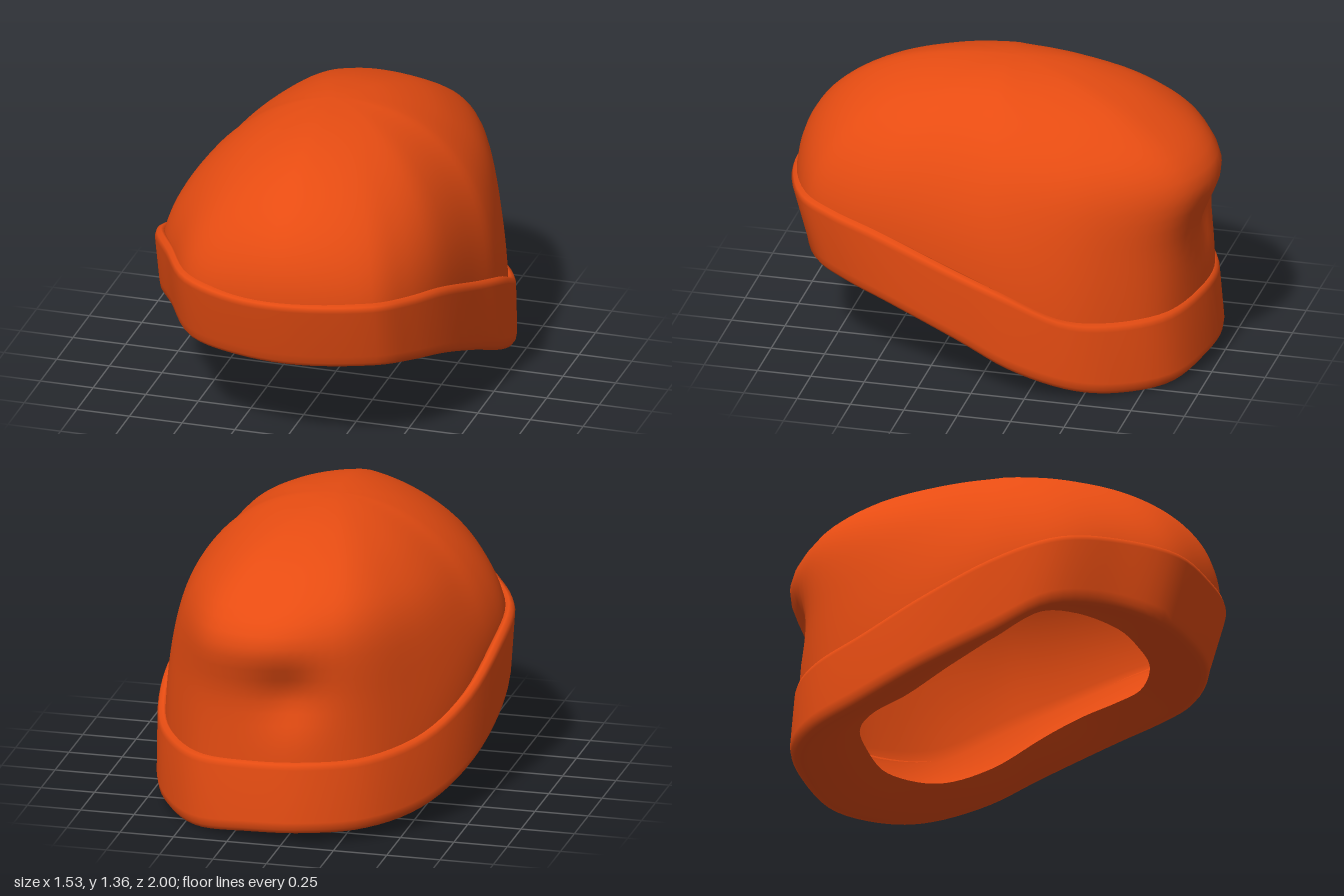
import * as THREE from 'three';

const AROUND = 96;

// Rim outline, front -> left -> back -> right: [x, z, top y, bottom y]
const OUTLINE = [
  [0.1, 1.0, 0.77, 0.43], [0.45, 0.88, 0.765, 0.425], [0.57, 0.72, 0.745, 0.4],
  [0.66, 0.5, 0.71, 0.355], [0.73, 0.12, 0.59, 0.225], [0.765, -0.14, 0.51, 0.125],
  [0.725, -0.42, 0.39, 0.04], [0.63, -0.62, 0.355, 0.005], [0.44, -0.84, 0.35, 0.0],
  [0.17, -0.94, 0.37, 0.03], [-0.09, -0.95, 0.385, 0.045], [-0.35, -0.83, 0.39, 0.05],
  [-0.56, -0.58, 0.43, 0.08], [-0.7, -0.28, 0.54, 0.17], [-0.76, 0.08, 0.69, 0.3],
  [-0.75, 0.36, 0.77, 0.43], [-0.62, 0.62, 0.8, 0.47], [-0.46, 0.86, 0.785, 0.44],
  [-0.2, 0.97, 0.765, 0.43],
];

// Profile of the back of the dome: [relative radius, relative height]
const BACK = new THREE.SplineCurve([
  [1, 0], [1, 0.2], [1, 0.33], [1, 0.46], [0.99, 0.57], [0.965, 0.65], [0.91, 0.73],
  [0.8, 0.81], [0.63, 0.89], [0.38, 0.96], [0.15, 0.993], [0, 1],
].map(([r, h]) => new THREE.Vector2(r, h)));

function sample(points) {
  const curve = new THREE.CatmullRomCurve3(points, true);
  return Array.from({ length: AROUND }, (_, i) => curve.getPoint(i / AROUND));
}

const topRing = sample(OUTLINE.map(([x, z, top]) => new THREE.Vector3(x, top, z)));
// The lower edge leans back a little
const bottomRing = sample(OUTLINE.map(([x, z, , low]) =>
  new THREE.Vector3(x * 0.993, low, z - 0.045 - 0.025 * z)));

// Move a ring towards the middle by d(p) and up by dy(p)
function inset(ring, d, dy) {
  return ring.map((p) => {
    const k = 1 - d(p) / Math.hypot(p.x, p.z);
    return new THREE.Vector3(p.x * k, p.y + dy(p), p.z * k);
  });
}
const edge = (ring, d, dy) => inset(ring, () => d, () => dy);

// Skin a stack of closed rings
function loft(rings, flip) {
  const positions = rings.flat().flatMap((p) => [p.x, p.y, p.z]);
  const index = [];
  for (let i = 0; i < rings.length - 1; i++) {
    for (let j = 0; j < AROUND; j++) {
      const a = i * AROUND + j, b = i * AROUND + (j + 1) % AROUND;
      const c = b + AROUND, d = a + AROUND;
      if (flip) index.push(a, c, b, a, d, c);
      else index.push(a, b, c, a, c, d);
    }
  }
  const geometry = new THREE.BufferGeometry();
  geometry.setAttribute('position', new THREE.Float32BufferAttribute(positions, 3));
  geometry.setIndex(index);
  geometry.computeVertexNormals();
  return geometry;
}

const bell = (v, centre, width) => Math.exp(-0.5 * ((v - centre) / width) ** 2);

// Dome rising from a ring: elliptical towards the top, steeper at the back
function domeRings(base, apexY, steps = 32) {
  const rings = [];
  for (let i = 0; i <= steps; i++) {
    const t = i / steps, s = t * Math.PI / 2;
    const back = BACK.getPointAt(t);
    rings.push(base.map((p) => {
      const front = Math.max(0, p.z);
      const e = 2 / (2.1 + 0.3 * p.x + 0.28 * front - 0.7 * front * Math.abs(p.x));
      const w = Math.min(1, Math.max(0, -p.z / 0.85)) ** 1.3;
      const h = THREE.MathUtils.lerp(Math.sin(s) ** e, back.y, w);
      let r = THREE.MathUtils.lerp(Math.max(0, Math.cos(s)) ** e, back.x, w);
      // Small bulge at the back with a soft dent below it
      r += w * (0.085 * bell(p.x, 0.16, 0.22) * bell(h, 0.6, 0.12)
        - 0.06 * bell(p.x, -0.02, 0.1) * bell(h, 0.35, 0.1));
      // Round off the corners of the rim outline
      const ellipse = Math.min(1, 1 / Math.hypot(p.x / 0.72, p.z / 0.98));
      r *= THREE.MathUtils.lerp(1, ellipse, Math.sin(s));
      return new THREE.Vector3(p.x * r, p.y + (apexY - p.y) * h, p.z * r);
    }));
  }
  return rings;
}

export function createModel() {
  const group = new THREE.Group();
  const material = new THREE.MeshStandardMaterial({ color: 0xe64c12 });
  const add = (name, geometry) => {
    const mesh = new THREE.Mesh(geometry, material);
    mesh.name = name;
    group.add(mesh);
  };

  // Crown of the cap
  const crownBase = inset(topRing, (p) => 0.047 - 0.027 * Math.abs(p.z), () => -0.06);
  add('crown', loft(domeRings(crownBase, 1.36), false));

  // Folded cuff: narrow rolled top, outer wall, underside curling inwards and up
  const thickness = (p) => 0.23 + 0.07 * Math.abs(p.z) - 0.02 * p.z;
  const lift = (p) => 0.08 - 0.05 * p.z;
  const under = (d, dy) => inset(bottomRing, (p) => thickness(p) * d, (p) => lift(p) * dy);
  const rim = under(1, 1);
  add('cuff', loft([
    edge(topRing, 0.07, -0.05),
    edge(topRing, 0.045, -0.008),
    edge(topRing, 0.028, 0),
    edge(topRing, 0.008, -0.01),
    edge(topRing, 0, -0.035),
    edge(bottomRing, 0, 0.06),
    edge(bottomRing, 0.006, 0.025),
    edge(bottomRing, 0.022, 0.005),
    edge(bottomRing, 0.05, 0),
    under(0.45, 0.2),
    under(0.75, 0.6),
    rim,
  ], true));

  // Hollow inside: a ledge behind the rim, then a thin shell following the crown
  add('lining', loft([
    rim,
    edge(bottomRing, 0.14, 0.1),
    ...domeRings(edge(crownBase, 0.035, 0), 1.33),
  ], true));

  return group;
}
